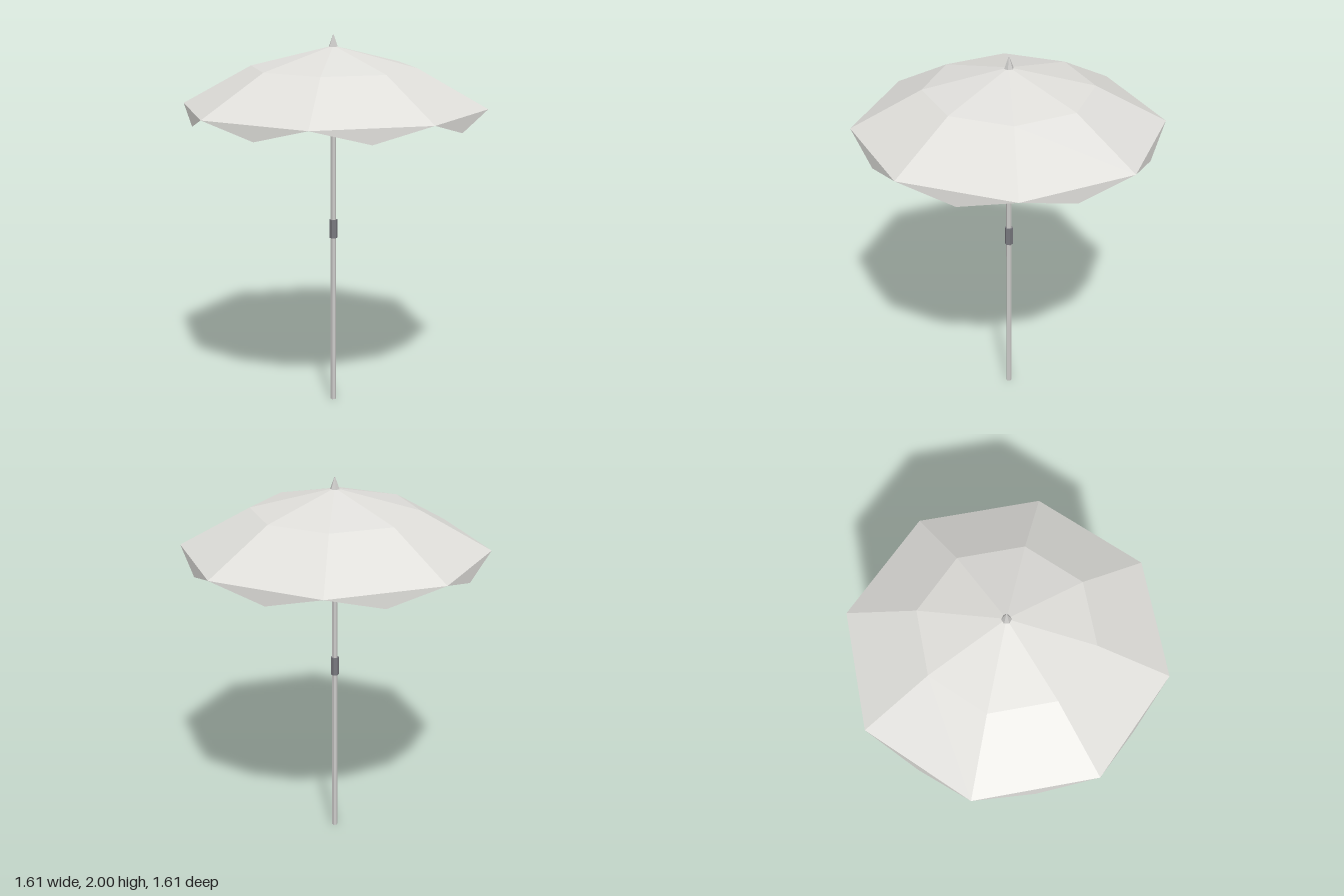
import * as THREE from 'three';

const SIDES = 8;

export function createModel() {
  const model = new THREE.Group();
  model.name = 'parasol';

  const mat = (name, color, extra = {}) => {
    const m = new THREE.MeshStandardMaterial({ color, flatShading: true, ...extra });
    m.name = name;
    return m;
  };
  const fabric = mat('fabric', 0xdfdeda, { side: THREE.DoubleSide });
  const metal = mat('pale metal', 0xcbcac8);
  const darkMetal = mat('dark metal', 0x77777d);

  const add = (name, geometry, material) => {
    const mesh = new THREE.Mesh(geometry, material);
    mesh.name = name;
    model.add(mesh);
    return mesh;
  };
  // Upright hexagonal tube or cone between two heights
  const upright = (name, rTop, rBottom, y0, y1, material) => {
    const mesh = add(name, new THREE.CylinderGeometry(rTop, rBottom, y1 - y0, 6), material);
    mesh.position.y = (y0 + y1) / 2;
    return mesh;
  };
  // Point around the axis; step counts eighths of a turn
  const polar = (r, y, step) => {
    const a = (step / SIDES) * Math.PI * 2;
    return new THREE.Vector3(r * Math.sin(a), y, r * Math.cos(a));
  };
  const fromTriangles = (points) => {
    const g = new THREE.BufferGeometry().setFromPoints(points);
    g.computeVertexNormals();
    return g;
  };

  // Pole with its joint sleeve, runner and finial
  upright('pole', 0.015, 0.015, 0, 1.94, metal);
  upright('jointSleeve', 0.022, 0.022, 0.92, 1.02, darkMetal);
  upright('runner', 0.02, 0.02, 1.48, 1.53, darkMetal);
  upright('finial', 0.003, 0.025, 1.94, 2.0, metal).rotation.y = Math.PI / 6;

  // Canopy in two slopes, and a hanging triangle along each rim edge
  const canopy = [];
  const valance = [];
  const rimMid = 0.805 * Math.cos(Math.PI / SIDES);
  for (let i = 0; i < SIDES; i++) {
    const apex = polar(0, 1.945, i);
    const a = polar(0.437, 1.835, i), b = polar(0.437, 1.835, i + 1);
    const c = polar(0.805, 1.63, i), d = polar(0.805, 1.63, i + 1);
    canopy.push(apex, a, b, a, c, d, a, d, b);
    valance.push(c, polar(rimMid, 1.55, i + 0.5), d);
  }
  add('canopy', fromTriangles(canopy), fabric);
  add('valance', fromTriangles(valance), fabric);

  // Thin struts from the runner to the canopy folds
  const up = new THREE.Vector3(0, 1, 0);
  for (let i = 0; i < SIDES; i++) {
    const start = polar(0.012, 1.525, i);
    const end = polar(0.41, 1.838, i);
    const dir = end.clone().sub(start);
    const strut = add('strut', new THREE.CylinderGeometry(0.004, 0.004, dir.length(), 4), metal);
    strut.position.copy(start).add(end).multiplyScalar(0.5);
    strut.quaternion.setFromUnitVectors(up, dir.normalize());
  }

  return model;
}
